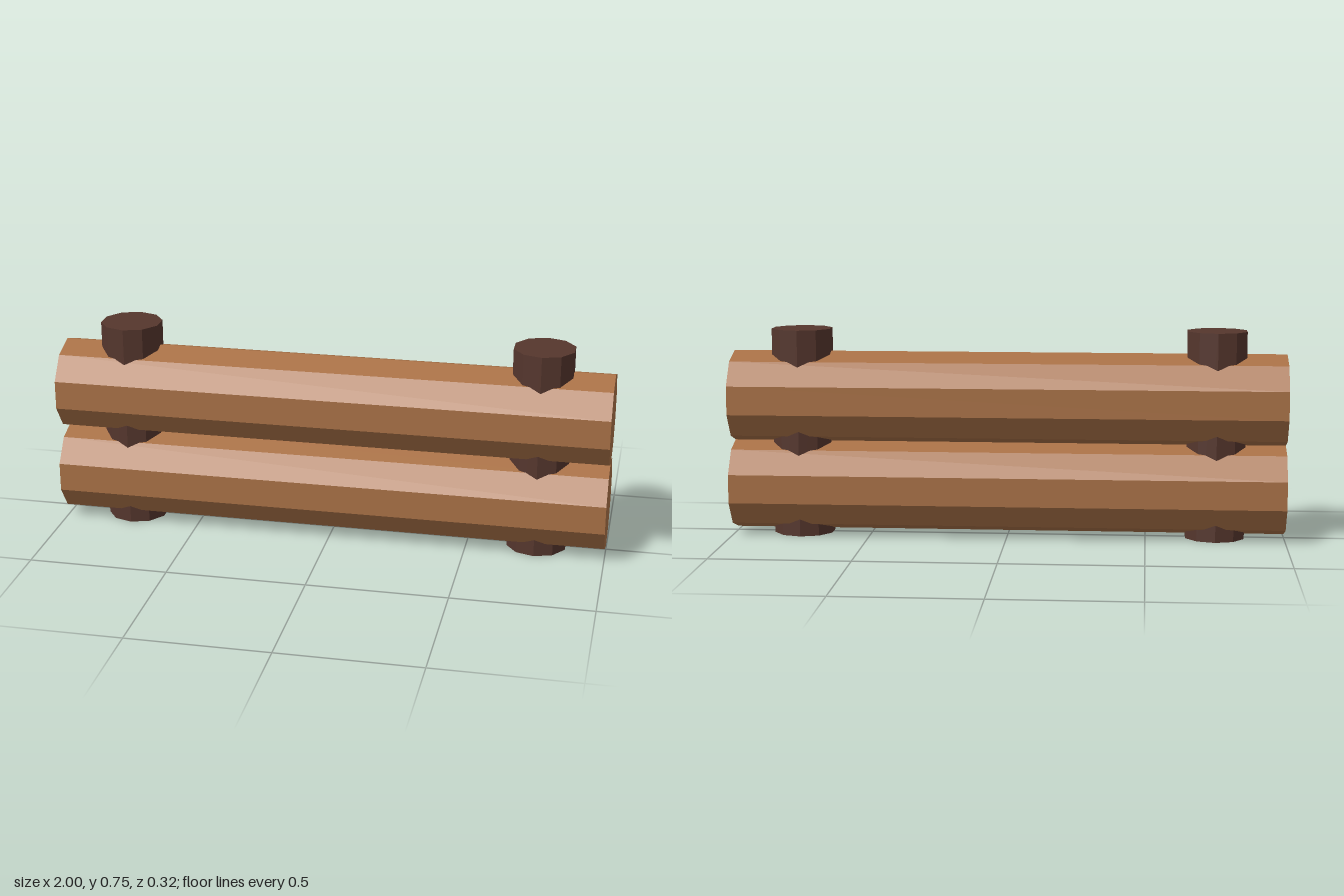
import * as THREE from 'three';

const SIDES = 10;

export function createModel() {
  const group = new THREE.Group();
  group.name = 'logFence';

  const logWood = new THREE.MeshStandardMaterial({ color: 0xa97146 });
  logWood.name = 'light log wood';
  const postWood = new THREE.MeshStandardMaterial({ color: 0x55362d });
  postWood.name = 'dark post wood';

  // Faceted cylinders: flat normals on every side
  const faceted = (radius, length) => {
    const geometry = new THREE.CylinderGeometry(radius, radius, length, SIDES).toNonIndexed();
    geometry.computeVertexNormals();
    return geometry;
  };

  const add = (name, geometry, material, x, y) => {
    const mesh = new THREE.Mesh(geometry, material);
    mesh.name = name;
    mesh.position.set(x, y, 0);
    group.add(mesh);
  };

  // Two stacked horizontal logs, with a ridge along the top of each
  const log = faceted(0.1667, 2).rotateX(Math.PI / 2).rotateY(Math.PI / 2);
  add('lowerLog', log, logWood, 0, 0.18);
  add('upperLog', log, logWood, 0, 0.501);

  // Upright posts running through both logs
  const post = faceted(0.111, 0.75);
  add('leftPost', post, postWood, 0.75, 0.375);
  add('rightPost', post, postWood, -0.75, 0.375);

  return group;
}
